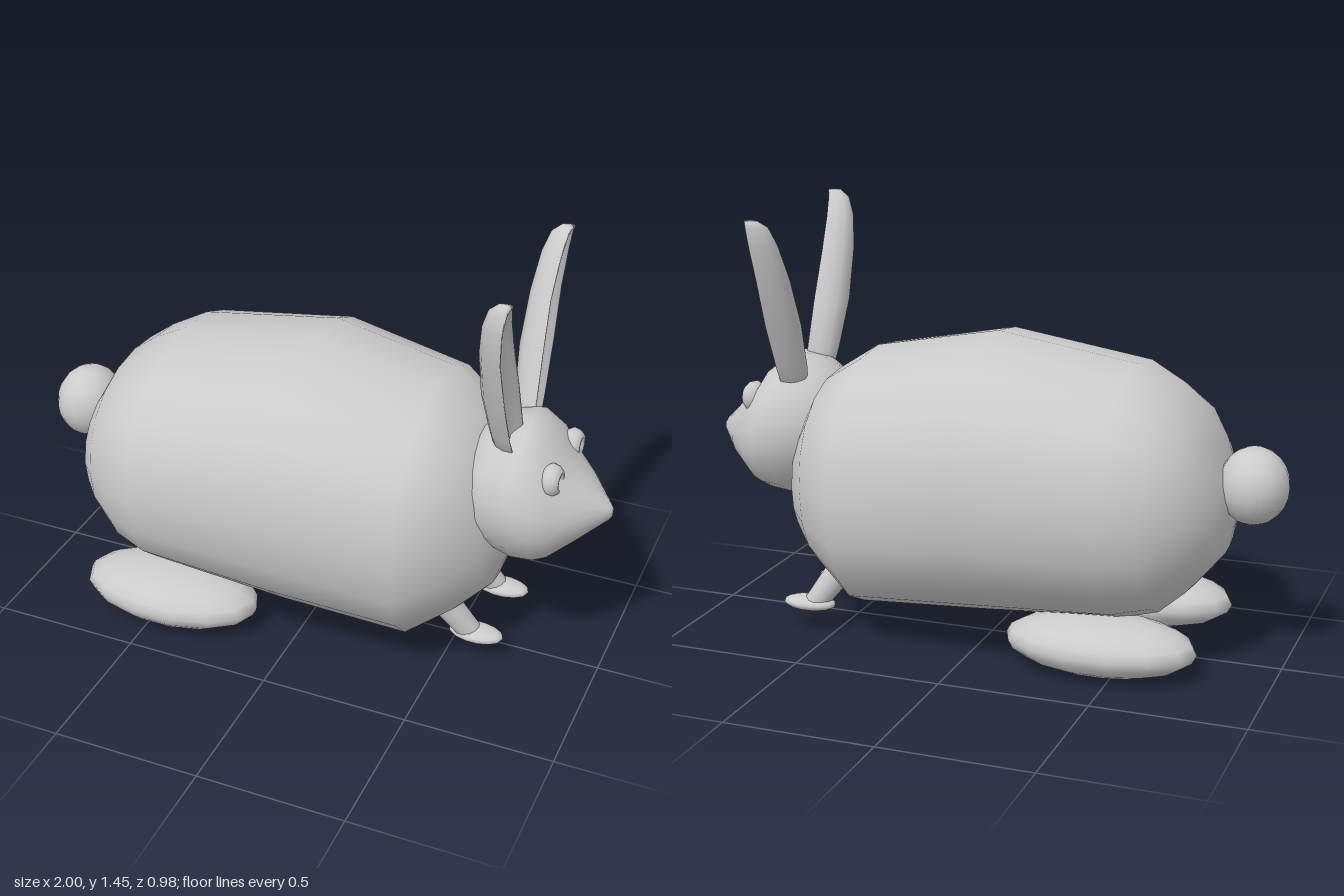
import * as THREE from 'three';

const V = (x, y, z) => new THREE.Vector3(x, y, z);
const material = new THREE.MeshStandardMaterial({ color: 0xcccccc });

// Closed smooth skin over rings that turn counter-clockwise about the direction of travel
function loft(rings) {
  const n = rings[0].length, m = rings.length, idx = [];
  const pts = rings.flat();
  for (let i = 0; i < m - 1; i++) {
    for (let j = 0; j < n; j++) {
      const a = i * n + j, b = i * n + (j + 1) % n;
      idx.push(a, b, a + n, b, b + n, a + n);
    }
  }
  const centre = ring => ring.reduce((s, p) => s.add(p), V(0, 0, 0)).divideScalar(n);
  pts.push(centre(rings[0]), centre(rings[m - 1]));
  for (let j = 0; j < n; j++) {
    const k = (j + 1) % n, e = (m - 1) * n;
    idx.push(m * n, k, j, m * n + 1, e + j, e + k);
  }
  const g = new THREE.BufferGeometry().setFromPoints(pts);
  g.setIndex(idx);
  g.computeVertexNormals();
  return g;
}

// Rounded sections along x, each [x, bottom, top, half width]
function sections(rows, n, power, cz = 0) {
  const round = v => Math.sign(v) * Math.abs(v) ** (2 / power);
  return loft(rows.map(([x, lo, hi, w]) => Array.from({ length: n }, (_, j) => {
    const t = j / n * Math.PI * 2;
    return V(x, (lo + hi) / 2 + round(Math.cos(t)) * (hi - lo) / 2, cz + round(Math.sin(t)) * w);
  })));
}

// Upright ear with a hollow front, rows of [y, inner z, outer z, back x, front x]
function ear(rows) {
  const n = 14;
  return loft(rows.map(([y, z0, z1, xb, xf]) => Array.from({ length: n }, (_, j) => {
    const t = j / n * Math.PI * 2, s = Math.sin(t), c = Math.cos(t);
    const rim = xf - 0.02;
    const x = s < 0 ? rim + s * (rim - xb) : xf - 0.02 * Math.abs(c) ** 6 - 0.05 * s ** 2 * Math.min(1, Math.abs(z1 - z0) / 0.12);
    return V(x, y, (z0 + z1) / 2 + c * Math.abs(z1 - z0) / 2);
  })));
}

export function createModel() {
  const model = new THREE.Group();
  const add = (name, geometry, x = 0, y = 0, z = 0) => {
    const mesh = new THREE.Mesh(geometry, material);
    mesh.name = name;
    mesh.position.set(x, y, z);
    model.add(mesh);
    return mesh;
  };
  const ball = (rx, ry, rz, w = 14, h = 10) => new THREE.SphereGeometry(1, w, h).scale(rx, ry, rz);

  // Plump body, from rump to chest
  add('body', sections([
    [-0.82, 0.46, 0.58, 0.09], [-0.80, 0.37, 0.65, 0.19], [-0.76, 0.32, 0.75, 0.28],
    [-0.70, 0.25, 0.85, 0.35], [-0.62, 0.18, 0.91, 0.405], [-0.50, 0.15, 0.975, 0.46],
    [-0.02, 0.12, 1.05, 0.49], [0.41, 0.09, 0.97, 0.445], [0.55, 0.20, 0.88, 0.345],
    [0.64, 0.29, 0.72, 0.22], [0.68, 0.43, 0.58, 0.08],
  ], 20, 2.2));

  // Head tapering to a pointed muzzle
  add('head', sections([
    [0.50, 0.62, 0.76, 0.07], [0.54, 0.54, 0.83, 0.15], [0.62, 0.46, 0.905, 0.225],
    [0.72, 0.43, 0.928, 0.245], [0.79, 0.44, 0.875, 0.237], [0.83, 0.46, 0.815, 0.21],
    [0.91, 0.535, 0.74, 0.135], [0.99, 0.605, 0.665, 0.025], [1.0, 0.62, 0.65, 0.012],
  ], 18, 2, 0.008));

  // Eyes with a small dimple for the pupil
  const eyeProfile = [[0, -0.045], [0.035, -0.035], [0.055, 0], [0.05, 0.02], [0.037, 0.034],
    [0.027, 0.034], [0.02, 0.024], [0, 0.02]].map(([r, y]) => new THREE.Vector2(r, y));
  for (const [name, z] of [['rightEye', 0.12], ['leftEye', -0.11]]) {
    const eye = add(name, new THREE.LatheGeometry(eyeProfile, 16), 0.82, 0.78, z);
    eye.rotation.z = -Math.PI / 2;
  }

  // Ears, leaning outward
  add('rightEar', ear([
    [0.84, 0.06, 0.14, 0.63, 0.72], [0.92, 0.05, 0.185, 0.615, 0.72], [1.08, 0.10, 0.25, 0.60, 0.715],
    [1.25, 0.165, 0.302, 0.605, 0.71], [1.36, 0.22, 0.32, 0.62, 0.715],
    [1.42, 0.255, 0.313, 0.64, 0.72], [1.445, 0.275, 0.295, 0.67, 0.72],
  ]));
  add('leftEar', ear([
    [0.82, -0.14, -0.06, 0.63, 0.72], [0.90, -0.185, -0.08, 0.615, 0.72], [1.06, -0.265, -0.14, 0.60, 0.715],
    [1.22, -0.328, -0.205, 0.605, 0.71], [1.34, -0.363, -0.265, 0.62, 0.715],
    [1.40, -0.37, -0.30, 0.64, 0.72], [1.422, -0.362, -0.335, 0.67, 0.72],
  ]));

  // Round tail
  add('tail', ball(0.115, 0.127, 0.125, 16, 12), -0.885, 0.608, 0.005);

  // Long hind feet
  add('rightHindFoot', ball(0.32, 0.096, 0.175), -0.45, 0.096, 0.272);
  add('leftHindFoot', ball(0.32, 0.096, 0.175), -0.45, 0.096, -0.218);

  // Short slanted front legs ending in flat paws
  for (const [side, z] of [['right', 0.09], ['left', -0.19]]) {
    const top = V(0.48, 0.23, z + 0.035), foot = V(0.575, 0.095, z);
    const dir = top.clone().sub(foot);
    const mid = top.clone().add(foot).multiplyScalar(0.5);
    const leg = add(side + 'FrontLeg', new THREE.CylinderGeometry(0.05, 0.04, dir.length(), 12), mid.x, mid.y, mid.z);
    leg.quaternion.setFromUnitVectors(V(0, 1, 0), dir.normalize());
    add(side + 'FrontPaw', ball(0.095, 0.026, 0.052), 0.597, 0.092, z);
  }
  return model;
}
